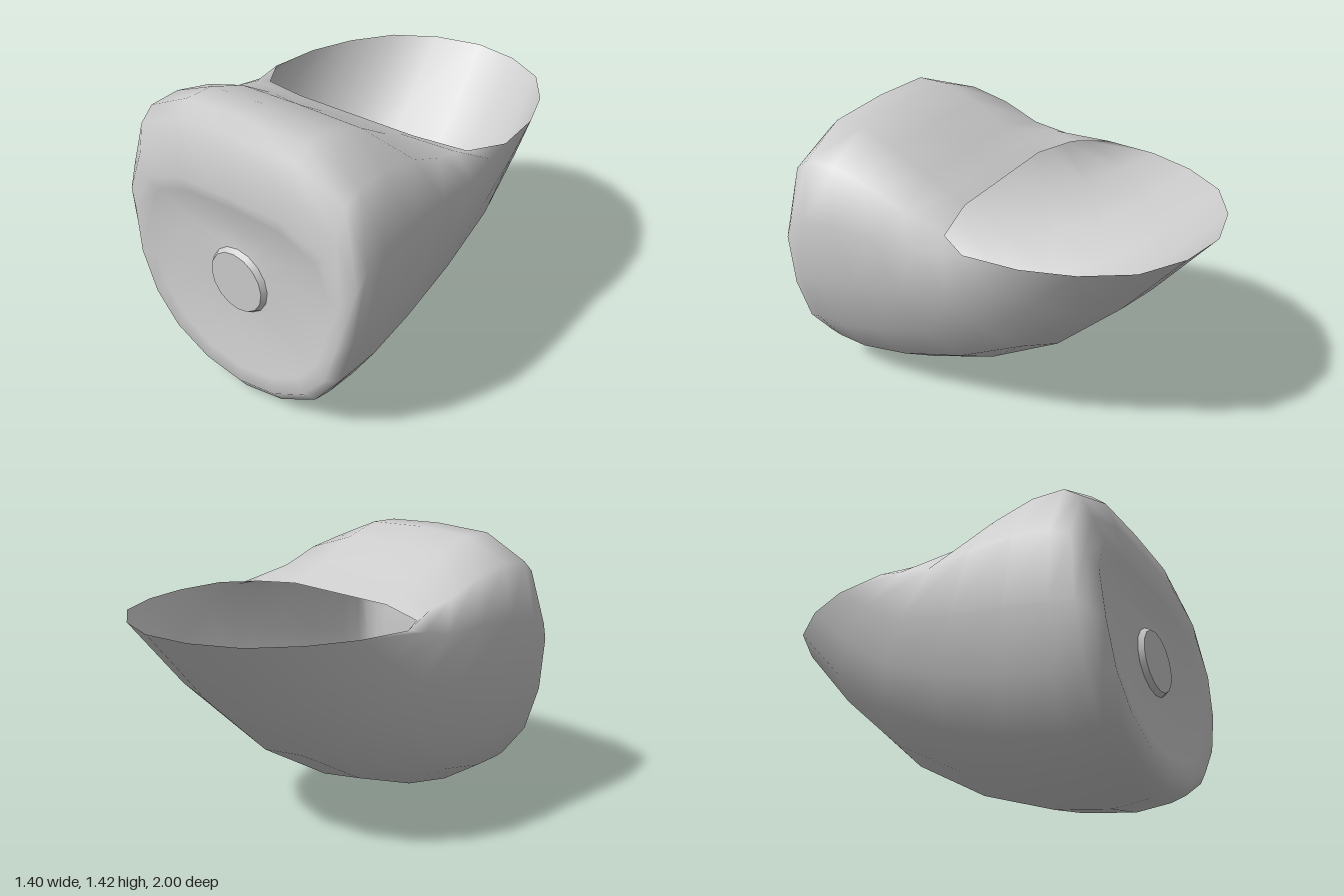
import * as THREE from 'three';

const lerp = THREE.MathUtils.lerp;
const HALF = 8, N = HALF * 2;

// Half cross-section, bottom centre to top centre: half width, then the share
// of the way from bottom to top at the rim and at the front
const WIDTH = [0, 0.242, 0.457, 0.6, 0.68, 0.7, 0.597, 0.34, 0];
const RIM = [0, 0.045, 0.16, 0.35, 0.56, 0.8, 0.945, 1, 1];
const FRONT = [0, 0.035, 0.135, 0.285, 0.49, 0.72, 0.91, 0.99, 1];

// Loops from open rim to dish floor:
// [bottom z, bottom y, top z, top y, width scale, blend from rim to front]
const LOOPS = [
  [-1, 1.12, 0.12, 1.12, 1, 0],
  [-0.7, 0.755, 0.21, 1.185, 1, 0.2],
  [-0.36, 0.425, 0.33, 1.24, 1, 0.4],
  [0.03, 0.19, 0.51, 1.35, 1, 0.6],
  [0.41, 0.05, 0.7, 1.42, 1, 0.8],
  [0.7, 0, 0.85, 1.425, 0.995, 1],
  [0.88, 0.015, 0.915, 1.36, 0.98, 1],
  [0.96, 0.04, 0.955, 1.22, 0.95, 1],
  [1.03, 0.1, 0.975, 1.1, 0.87, 1],
  [0.99, 0.18, 0.965, 1.04, 0.765, 1],
  [0.96, 0.32, 0.935, 0.92, 0.54, 1],
];
const BUTTON = { y: 0.655, r: 0.165, z: 0.947 };

function createShell(material) {
  const positions = [], index = [];
  LOOPS.forEach(([zb, yb, zt, yt, scale, blend], i) => {
    for (let k = 0; k < N; k++) {
      const j = k <= HALF ? k : N - k;
      const f = lerp(RIM[j], FRONT[j], blend);
      const lift = i === 0 && j >= HALF - 1 ? 0.02 : 0;
      positions.push(
        (k <= HALF ? 1 : -1) * WIDTH[j] * scale,
        lerp(yb, yt, f) + lift,
        Math.min(1, lerp(zb, zt, f)));
    }
  });
  // Round hole in the dish floor that the button fills
  for (let k = 0; k < N; k++) {
    const a = k / N * Math.PI * 2;
    positions.push(BUTTON.r * Math.sin(a), BUTTON.y - BUTTON.r * Math.cos(a), BUTTON.z);
  }
  for (let i = 0; i < LOOPS.length; i++) {
    for (let k = 0; k < N; k++) {
      const a = i * N + k, b = i * N + (k + 1) % N;
      index.push(a, b, a + N, b, b + N, a + N);
    }
  }
  const geometry = new THREE.BufferGeometry();
  geometry.setAttribute('position', new THREE.Float32BufferAttribute(positions, 3));
  geometry.setIndex(index);
  geometry.computeVertexNormals();
  const shell = new THREE.Mesh(geometry, material);
  shell.name = 'shell';
  return shell;
}

// Raised round button: bevelled wall and cap, open at the back
function createButton(material) {
  const { y, r, z } = BUTTON, height = 0.025, capRadius = r - 0.015;
  const button = new THREE.Group();
  button.name = 'button';
  const wall = new THREE.Mesh(new THREE.CylinderGeometry(capRadius, r, height, N, 1, true), material);
  wall.name = 'buttonWall';
  wall.rotation.x = Math.PI / 2;
  wall.position.z = height / 2;
  const cap = new THREE.Mesh(new THREE.CircleGeometry(capRadius, N), material);
  cap.name = 'buttonCap';
  cap.position.z = height;
  button.add(wall, cap);
  button.position.set(0, y, z);
  return button;
}

export function createModel() {
  const material = new THREE.MeshStandardMaterial({ color: 0xcccccc, side: THREE.DoubleSide });
  const model = new THREE.Group();
  model.name = 'scoop';
  model.add(createShell(material), createButton(material));
  return model;
}
